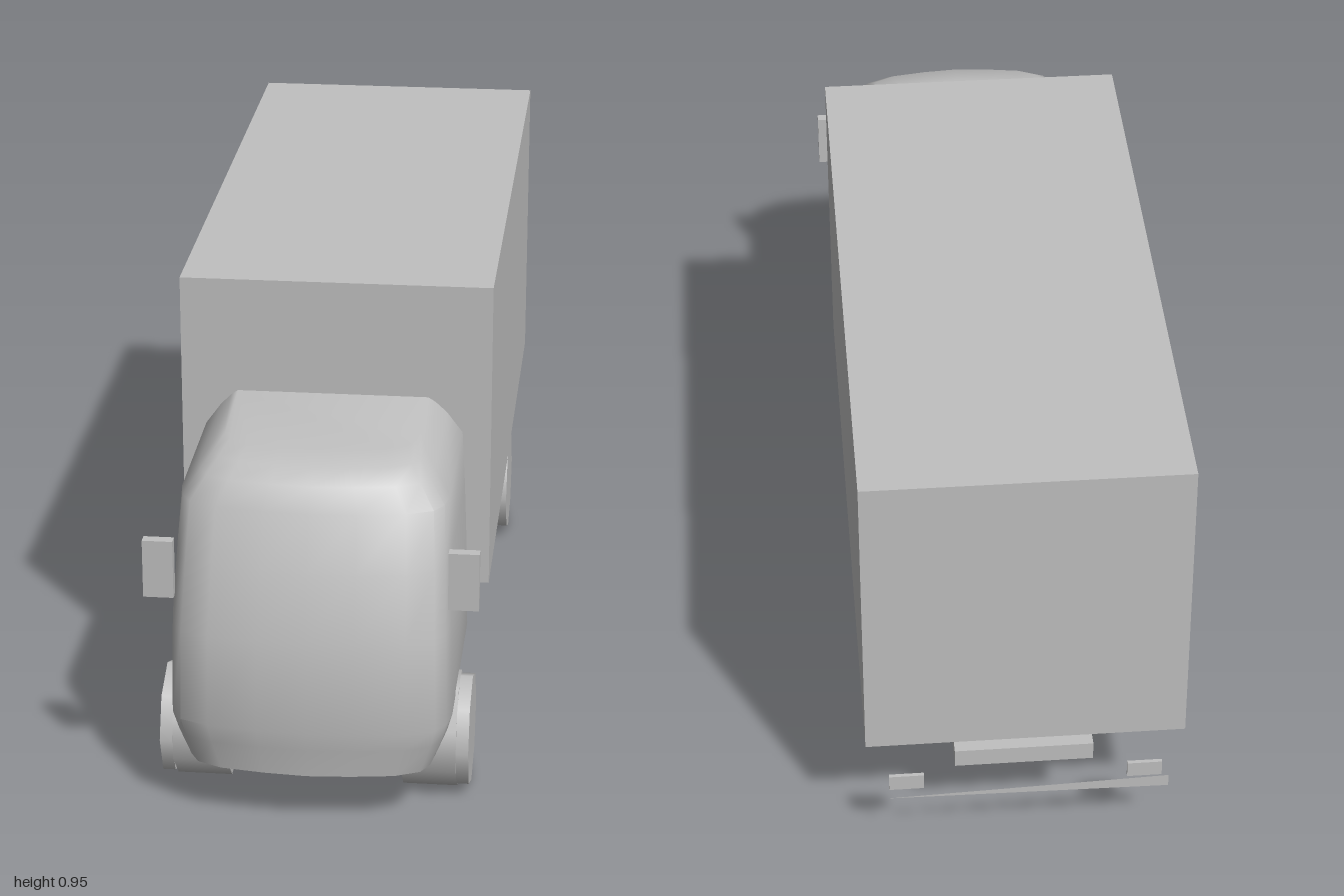
import * as THREE from 'three';
import { toCreasedNormals } from 'three/addons/utils/BufferGeometryUtils.js';

const grey = new THREE.MeshStandardMaterial({ color: 0xc0c0c0 });
grey.name = 'plain grey';
grey.side = THREE.DoubleSide;

function add(group, name, geometry, x = 0, y = 0, z = 0) {
  const mesh = new THREE.Mesh(geometry, grey);
  mesh.name = name;
  mesh.position.set(x, y, z);
  group.add(mesh);
  return mesh;
}

// box given by its lower and upper corners
function addBox(group, name, [x0, y0, z0], [x1, y1, z1]) {
  return add(group, name, new THREE.BoxGeometry(x1 - x0, y1 - y0, z1 - z0),
    (x0 + x1) / 2, (y0 + y1) / 2, (z0 + z1) / 2);
}

// cab skin lofted through horizontal sections with a bowed front
function cabGeometry() {
  // height, half width, front z, back z
  const rows = [
    [0.12, 0.245, 0.985, 0.47], [0.18, 0.268, 0.993, 0.47], [0.22, 0.279, 1.0, 0.47],
    [0.41, 0.275, 0.995, 0.47], [0.54, 0.27, 0.95, 0.47], [0.65, 0.264, 0.912, 0.47],
    [0.695, 0.232, 0.885, 0.475], [0.72, 0.21, 0.85, 0.485], [0.732, 0.195, 0.785, 0.49],
  ];
  // fraction of half width, setback from the front
  const half = [[1, 0.115], [0.97, 0.07], [0.9, 0.04], [0.7, 0.018], [0.35, 0.006]];
  const front = [...half.map(([f, s]) => [-f, s]), [0, 0], ...half.map(([f, s]) => [f, s]).reverse()];
  const rings = rows.map(([y, w, zf, zb]) => [
    [-w, y, zb], ...front.map(([f, s]) => [f * w, y, zf - s]), [w, y, zb],
  ]);
  const n = rings[0].length;
  const pos = [];
  const tri = (a, b, c) => pos.push(...a, ...b, ...c);
  for (let i = 0; i < rings.length - 1; i++) {
    for (let j = 0; j < n; j++) {
      const k = (j + 1) % n;
      tri(rings[i][j], rings[i][k], rings[i + 1][k]);
      tri(rings[i][j], rings[i + 1][k], rings[i + 1][j]);
    }
  }
  const bottom = rings[0], top = rings[rings.length - 1];
  for (let j = 1; j < n - 1; j++) {
    tri(top[0], top[j], top[j + 1]);
    tri(bottom[0], bottom[j + 1], bottom[j]);
  }
  const g = new THREE.BufferGeometry();
  g.setAttribute('position', new THREE.Float32BufferAttribute(pos, 3));
  return toCreasedNormals(g, 0.7);
}

// eight-sided wheel: thin outer rim and a tyre turned half a step behind it
function makeWheel(name, side, z) {
  const wheel = new THREE.Group();
  wheel.name = name;
  wheel.position.set(0, 0.12, z);
  const slice = (part, x0, x1, turn) => {
    const g = new THREE.CylinderGeometry(0.117, 0.117, x1 - x0, 8);
    g.rotateY(turn);
    g.rotateZ(Math.PI / 2);
    add(wheel, part, g, side * (x0 + x1) / 2);
  };
  slice('outerRim', 0.285, 0.31, 0);
  slice('tyre', 0.175, 0.285, Math.PI / 8);
  return wheel;
}

export function createModel() {
  const truck = new THREE.Group();
  truck.name = 'boxTruck';

  add(truck, 'cab', cabGeometry());
  addBox(truck, 'cargoBox', [-0.32, 0.295, -0.99], [0.32, 0.95, 0.43]);
  addBox(truck, 'chassis', [-0.14, 0.2, -0.96], [0.14, 0.24, 0.48]);

  for (const [label, s] of [['left', 1], ['right', -1]]) {
    truck.add(makeWheel(label + 'FrontWheel', s, 0.75));
    truck.add(makeWheel(label + 'RearWheel', s, -0.525));
    // door mirror
    add(truck, label + 'Mirror', new THREE.BoxGeometry(0.06, 0.12, 0.022), s * 0.299, 0.515, 0.892);
    // rear lamp plate
    add(truck, label + 'RearLamp', new THREE.BoxGeometry(0.07, 0.035, 0.008), s * 0.24, 0.2, -0.996);
  }

  // tapering rear guard strip
  const strip = new THREE.Shape([
    new THREE.Vector2(0.28, 0.155), new THREE.Vector2(-0.29, 0.175), new THREE.Vector2(-0.29, 0.147),
  ]);
  add(truck, 'rearGuard', new THREE.ShapeGeometry(strip), 0, 0, -0.996);
  return truck;
}
